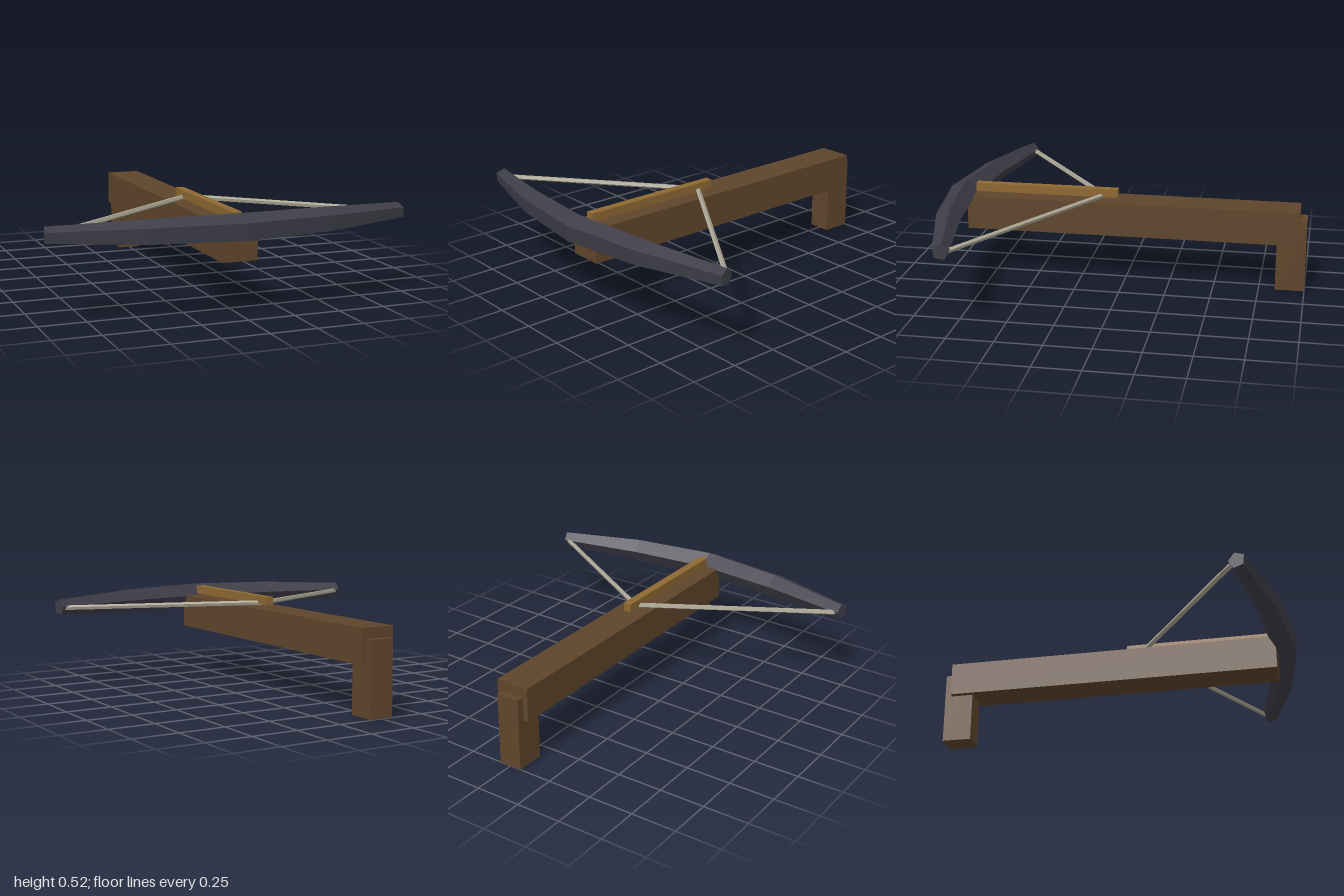
import * as THREE from 'three';

const darkWood = new THREE.MeshStandardMaterial({ color: 0x5f452b });
const lightWood = new THREE.MeshStandardMaterial({ color: 0x8e6832 });
const darkSteel = new THREE.MeshStandardMaterial({ color: 0x3e3d48 });
const cord = new THREE.MeshStandardMaterial({ color: 0xaaa593 });
darkWood.name = 'dark wood';
lightWood.name = 'light wood';
darkSteel.name = 'dark steel';
cord.name = 'cord';

// Faceted normals
function facet(geometry) {
  const g = geometry.index ? geometry.toNonIndexed() : geometry;
  g.computeVertexNormals();
  return g;
}

function box(name, material, [x0, x1], [y0, y1], [z0, z1]) {
  const mesh = new THREE.Mesh(new THREE.BoxGeometry(x1 - x0, y1 - y0, z1 - z0), material);
  mesh.position.set((x0 + x1) / 2, (y0 + y1) / 2, (z0 + z1) / 2);
  mesh.name = name;
  return mesh;
}

// Five-sided tapered bow swept through stations of [x, z, radius, yaw]
function bowGeometry() {
  const half = [[0.48, 0.878, 0.069, 0.17], [0.96, 0.767, 0.045, 0.23]];
  const stations = [
    ...half.map(([x, z, r, a]) => [-x, z, r, -a]).reverse(),
    [0, 0.933, 0.077, 0],
    ...half,
  ];
  const sides = 5, y = 0.445, points = [], index = [];
  for (const [x, z, r, yaw] of stations) {
    for (let j = 0; j < sides; j++) {
      const t = THREE.MathUtils.degToRad(30 + 72 * j);
      const out = r * Math.cos(t);
      points.push(x + out * Math.sin(yaw), y + r * Math.sin(t), z + out * Math.cos(yaw));
    }
  }
  const last = stations.length - 1;
  for (let i = 0; i < last; i++) {
    for (let j = 0; j < sides; j++) {
      const k = (j + 1) % sides;
      const a = i * sides + j, b = a + sides, c = (i + 1) * sides + k, d = i * sides + k;
      index.push(a, b, c, a, c, d);
    }
  }
  // End caps
  for (let j = 1; j < sides - 1; j++) {
    index.push(0, j, j + 1);
    index.push(last * sides, last * sides + j + 1, last * sides + j);
  }
  const g = new THREE.BufferGeometry();
  g.setAttribute('position', new THREE.Float32BufferAttribute(points, 3));
  g.setIndex(index);
  return facet(g);
}

// Straight five-sided cord between two points
function cordBetween(name, from, to, radius) {
  const dir = to.clone().sub(from);
  const g = new THREE.CylinderGeometry(radius, radius, dir.length(), 5, 1, false, Math.PI / 2);
  const mesh = new THREE.Mesh(facet(g), cord);
  mesh.position.copy(from).add(to).multiplyScalar(0.5);
  mesh.quaternion.setFromUnitVectors(new THREE.Vector3(0, 1, 0), dir.normalize());
  mesh.name = name;
  return mesh;
}

export function createModel() {
  const model = new THREE.Group();
  model.name = 'crossbow';

  // Stock, grip and bolt rail
  model.add(box('stock', darkWood, [-0.095, 0.095], [0.27, 0.457], [-0.96, 0.885]));
  model.add(box('grip', darkWood, [-0.065, 0.065], [0, 0.4], [-1, -0.84]));
  model.add(box('boltRail', lightWood, [-0.023, 0.023], [0.468, 0.514], [0.045, 0.85]));

  // Bow
  const bow = new THREE.Mesh(bowGeometry(), darkSteel);
  bow.name = 'bow';
  model.add(bow);

  // Drawn string, one half to each tip
  for (const [name, s] of [['leftString', 1], ['rightString', -1]]) {
    model.add(cordBetween(name, new THREE.Vector3(0, 0.475, 0.127),
      new THREE.Vector3(s * 0.945, 0.442, 0.752), 0.014));
  }
  return model;
}
